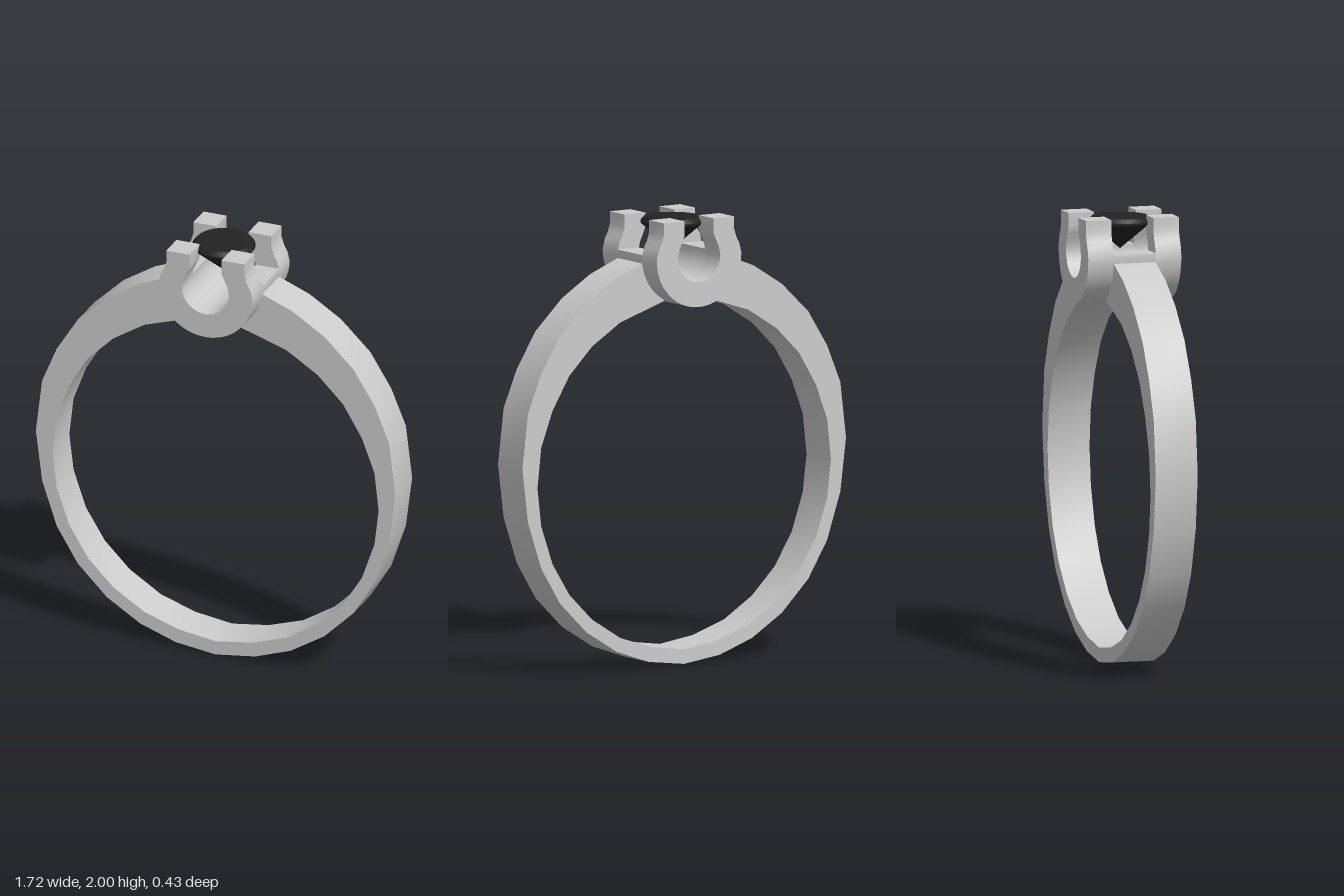
import * as THREE from 'three';
import { toCreasedNormals } from 'three/addons/utils/BufferGeometryUtils.js';

const CY = 1.835; // centre height of the round setting

// Extrude an outline between two depths, with soft shading along its curves
function slab(name, points, z0, z1, material) {
  const shape = new THREE.Shape(points.map(([x, y]) => new THREE.Vector2(x, y)));
  const geo = new THREE.ExtrudeGeometry(shape, { depth: z1 - z0, bevelEnabled: false });
  geo.translate(0, 0, z0);
  const mesh = new THREE.Mesh(toCreasedNormals(geo, 0.6), material);
  mesh.name = name;
  return mesh;
}

const mirror = (pts) => pts.map(([x, y]) => [-x, y]).reverse();

// U-shaped line: right arm from the top, lower half circle, left arm
function uLine(arm, radius) {
  const arc = [];
  for (let i = 0; i <= 24; i++) {
    const a = -Math.PI * i / 24;
    arc.push([radius * Math.cos(a), CY + radius * Math.sin(a)]);
  }
  return [...arm, ...arc, ...mirror(arm)];
}

export function createModel() {
  const model = new THREE.Group();
  model.name = 'ring';
  const metal = new THREE.MeshStandardMaterial({ color: 0xcccccc });
  const dark = new THREE.MeshStandardMaterial({ color: 0x222222 });

  // Band: thin at the bottom, thick at the shoulders, ending inside the setting wall
  const outer = [[0.19, 0.025], [0.36, 0.085], [0.52, 0.185], [0.66, 0.325], [0.76, 0.49],
    [0.83, 0.70], [0.86, 0.94], [0.83, 1.19], [0.76, 1.36], [0.66, 1.52], [0.52, 1.655],
    [0.37, 1.75], [0.22, 1.81], [0.165, 1.82]];
  const inner = [[0.12, 1.72], [0.08, 1.68], [0.11, 1.63], [0.34, 1.555], [0.49, 1.46],
    [0.61, 1.34], [0.70, 1.19], [0.76, 1.03], [0.78, 0.85], [0.76, 0.68], [0.70, 0.505],
    [0.61, 0.36], [0.49, 0.24], [0.34, 0.145], [0.175, 0.09]];
  const band = [[0, 0], ...outer, ...inner, [0, 0.065], ...mirror(inner), ...mirror(outer)];
  model.add(slab('band', band, -0.097, 0.097, metal));

  // Setting: two U-shaped prong pairs joined by a lower cradle
  const setting = new THREE.Group();
  setting.name = 'setting';
  const outerArm = [[0.187, 2], [0.187, 1.945], [0.198, 1.91], [0.214, 1.88]];
  const innerArm = [[0.077, 2], [0.077, 1.935], [0.09, 1.905], [0.106, 1.87]];
  const prongs = [...uLine(outerArm, 0.225), ...uLine(innerArm, 0.113).reverse()];
  setting.add(slab('frontProngs', prongs, 0.097, 0.215, metal));
  setting.add(slab('backProngs', prongs, -0.215, -0.097, metal));
  const cradle = [...uLine([[0.224, 1.847]], 0.225), ...uLine([[0.112, 1.847]], 0.113).reverse()];
  setting.add(slab('cradle', cradle, -0.097, 0.097, metal));
  model.add(setting);

  // Gem: pointed base, girdle, short crown and flat table
  const profile = [[0, 1.845], [0.14, 1.963], [0.14, 1.972], [0.125, 1.99], [0, 1.99]];
  const gemGeo = new THREE.LatheGeometry(profile.map(([x, y]) => new THREE.Vector2(x, y)), 32);
  const gem = new THREE.Mesh(toCreasedNormals(gemGeo, 0.5), dark);
  gem.name = 'gem';
  model.add(gem);

  return model;
}
